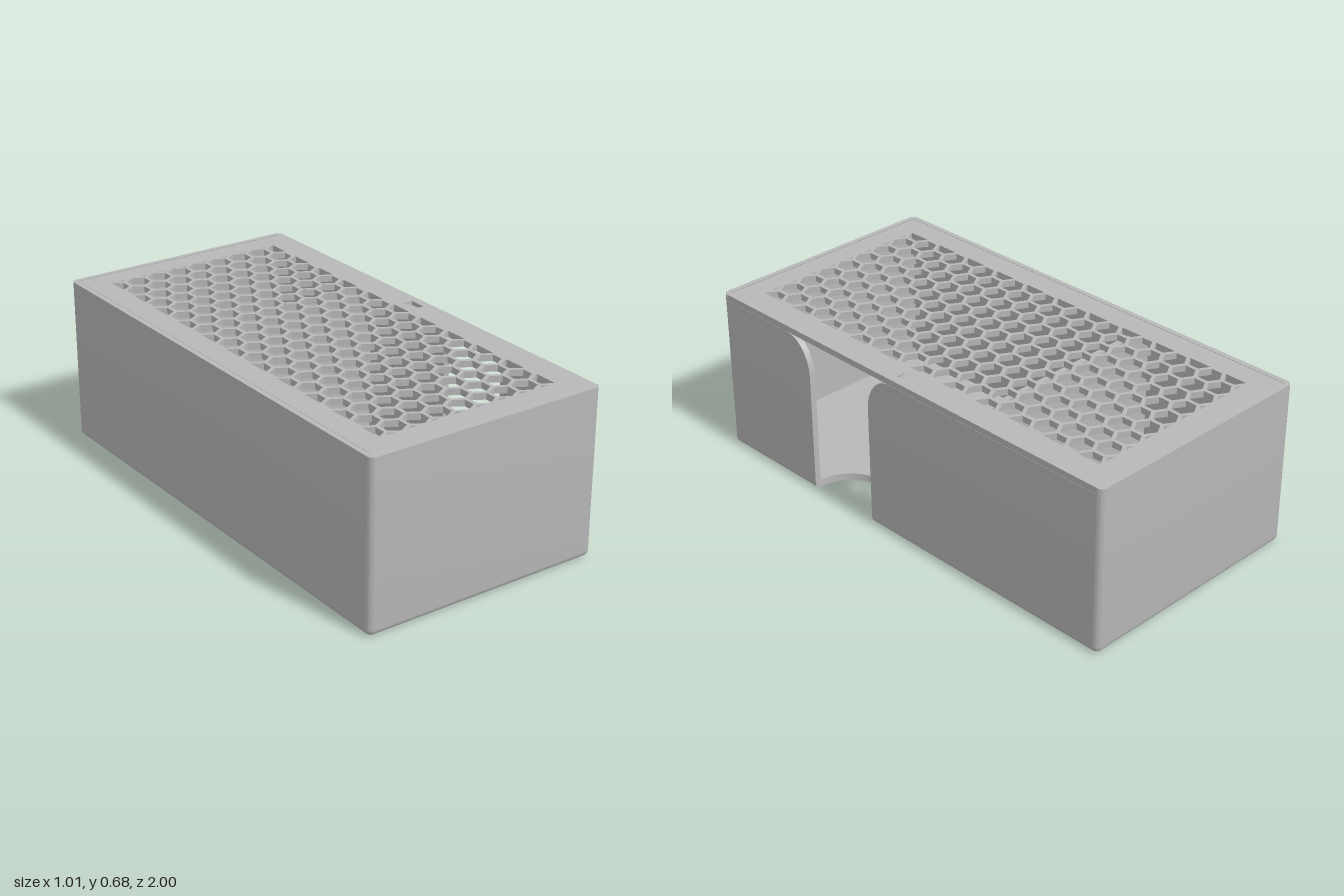
import * as THREE from 'three';
import { toCreasedNormals } from 'three/addons/utils/BufferGeometryUtils.js';

const W = 0.504, L = 1.0;            // half width and half length
const WALL = 0.025, FLOOR = 0.03;
const LEDGE = 0.65, TOP = 0.675;     // lid seat and rim heights
const NOTCH_Z = 0.325, NOTCH_R = 0.165;
const FLARE_Z = 0.12, FLARE_Y = 0.15;

// Extrude a plan shape (x, -z) upward from y0 to y1
function slab(shape, y0, y1) {
  const g = new THREE.ExtrudeGeometry(shape, { depth: y1 - y0, bevelEnabled: false, curveSegments: 32 });
  return g.rotateX(-Math.PI / 2).translate(0, y0, 0);
}

function polygon(points) {
  return points.map(([x, y]) => new THREE.Vector2(x, y));
}

// Wall cross-section: d is the inset from the outer face
function wallProfile(h, rail) {
  const pts = [[WALL, 0]];
  for (let i = 1; i <= 6; i++) {
    const a = (i / 6) * Math.PI / 2;
    pts.push([WALL * (1 - Math.sin(a)), WALL * (1 - Math.cos(a))]);
  }
  const up = rail ? TOP - LEDGE : 0;
  pts.push([0, h + up], [rail ? 0.022 : 0, h + up], [0.01, h], [WALL, h]);
  return pts;
}

// Walls swept round three sides and up to the flared finger opening
function wallGeometry() {
  const path = [];
  const cx = W - WALL, cz = L - WALL;
  const add = (x, z, a, h, rail) => path.push({ x, z, nx: Math.cos(a), nz: Math.sin(a), h, rail });
  const flare = (side, i) => {
    const t = (i / 14) * Math.PI / 2;
    add(cx, NOTCH_Z + side * (NOTCH_R + FLARE_Z * (1 - Math.cos(t))), 0, LEDGE - FLARE_Y * (1 - Math.sin(t)), false);
  };
  for (let i = 0; i <= 14; i++) flare(-1, i);
  add(cx, -cz, 0, LEDGE, false);
  [[1, -1], [-1, -1], [-1, 1], [1, 1]].forEach(([sx, sz], c) => {
    for (let i = 0; i <= 6; i++) add(sx * cx, sz * cz, -(c + i / 6) * Math.PI / 2, LEDGE, true);
  });
  add(cx, cz, 0, LEDGE, false);
  for (let i = 14; i >= 0; i--) flare(1, i);

  const rings = path.map(p => wallProfile(p.h, p.rail).map(([d, y]) =>
    [p.x + p.nx * (WALL - d), y, p.z + p.nz * (WALL - d)]));
  const pos = [];
  const tri = (a, b, c) => pos.push(...a, ...b, ...c);
  const n = rings[0].length;
  for (let i = 0; i < rings.length - 1; i++) {
    for (let j = 0; j < n; j++) {
      const k = (j + 1) % n, A = rings[i], B = rings[i + 1];
      tri(A[j], B[j], B[k]);
      tri(A[j], B[k], A[k]);
    }
  }
  // jamb faces
  const first = rings[0], last = rings[rings.length - 1];
  for (let j = 1; j < n - 1; j++) {
    tri(first[0], first[j], first[j + 1]);
    tri(last[0], last[j + 1], last[j]);
  }
  const g = new THREE.BufferGeometry();
  g.setAttribute('position', new THREE.Float32BufferAttribute(pos, 3));
  return toCreasedNormals(g, 0.5);
}

// Floor with a half-round bite at the opening
function floorGeometry() {
  const x = W - WALL, z = L - WALL;
  const s = new THREE.Shape();
  s.moveTo(-x, -z);
  s.lineTo(x, -z);
  s.lineTo(x, -NOTCH_Z - NOTCH_R);
  s.absarc(x, -NOTCH_Z, NOTCH_R, -Math.PI / 2, -Math.PI * 1.5, true);
  s.lineTo(x, z);
  s.lineTo(-x, z);
  s.closePath();
  return toCreasedNormals(slab(s, 0, FLOOR), 0.5);
}

// Keep the part of a polygon where sign * p[axis] <= limit
function clip(poly, axis, sign, limit) {
  const out = [];
  poly.forEach((p, i) => {
    const q = poly[(i + 1) % poly.length];
    const dp = sign * p[axis] - limit, dq = sign * q[axis] - limit;
    if (dp <= 0) out.push(p);
    if (dp * dq < 0) {
      const t = dp / (dp - dq);
      out.push([p[0] + (q[0] - p[0]) * t, p[1] + (q[1] - p[1]) * t]);
    }
  });
  return out;
}

// Sliding lid with dovetail edges, honeycomb vents and a thumb recess
function lidGeometry() {
  const x0 = -0.48, x1 = 0.503, z = 0.975;
  const s = new THREE.Shape(polygon([[x0, -z], [x1, -z], [x1, z], [x0, z]]));
  const pitch = 0.0965, rowStep = pitch * Math.sqrt(3) / 2, R = 0.047;
  for (let row = -11; row <= 11; row++) {
    const odd = Math.abs(row) % 2;
    for (let k = -4; k <= 4 - odd; k++) {
      const cx = (k + odd / 2) * pitch, cy = row * rowStep;
      let hex = [];
      for (let i = 0; i < 6; i++) {
        const a = Math.PI / 6 + i * Math.PI / 3;
        hex.push([cx + R * Math.cos(a), cy + R * Math.sin(a)]);
      }
      hex = clip(clip(hex, 0, 1, 0.39), 0, -1, 0.385);
      hex = clip(clip(hex, 1, 1, 0.885), 1, -1, 0.885);
      if (hex.length > 2) s.holes.push(new THREE.Path(polygon(hex)));
    }
  }
  s.holes.push(new THREE.Path(polygon([[0.42, -0.035], [0.47, -0.035], [0.47, 0.035], [0.42, 0.035]])));
  const g = slab(s, LEDGE, TOP);
  // spread the lower edge outward to form the dovetail
  const p = g.attributes.position;
  for (let i = 0; i < p.count; i++) {
    if (p.getY(i) > LEDGE + 0.01) continue;
    if (p.getX(i) < x0 + 0.001) p.setX(i, x0 - 0.012);
    if (Math.abs(p.getZ(i)) > z - 0.001) p.setZ(i, Math.sign(p.getZ(i)) * (z + 0.012));
  }
  g.computeVertexNormals();
  return g;
}

// Sloping bottom of the thumb recess
function thumbRampGeometry() {
  const s = new THREE.Shape(polygon([[0.42, LEDGE], [0.47, LEDGE], [0.47, 0.658], [0.42, TOP]]));
  return new THREE.ExtrudeGeometry(s, { depth: 0.07, bevelEnabled: false }).translate(0, 0, -0.035);
}

export function createModel() {
  const grey = new THREE.MeshStandardMaterial({ color: 0xb8b8b8 });
  grey.name = 'grey';
  const model = new THREE.Group();
  model.name = 'ventedBox';
  const add = (name, geometry, parent = model) => {
    const m = new THREE.Mesh(geometry, grey);
    m.name = name;
    parent.add(m);
    return m;
  };

  add('walls', wallGeometry());
  add('floor', floorGeometry());
  const h = LEDGE - FLOOR;
  add('divider', new THREE.BoxGeometry(2 * (W - WALL), h, 0.025)).position.set(0, FLOOR + h / 2, -0.325);

  const lid = new THREE.Group();
  lid.name = 'slidingLid';
  model.add(lid);
  add('lidPanel', lidGeometry(), lid);
  add('thumbRamp', thumbRampGeometry(), lid);
  return model;
}
